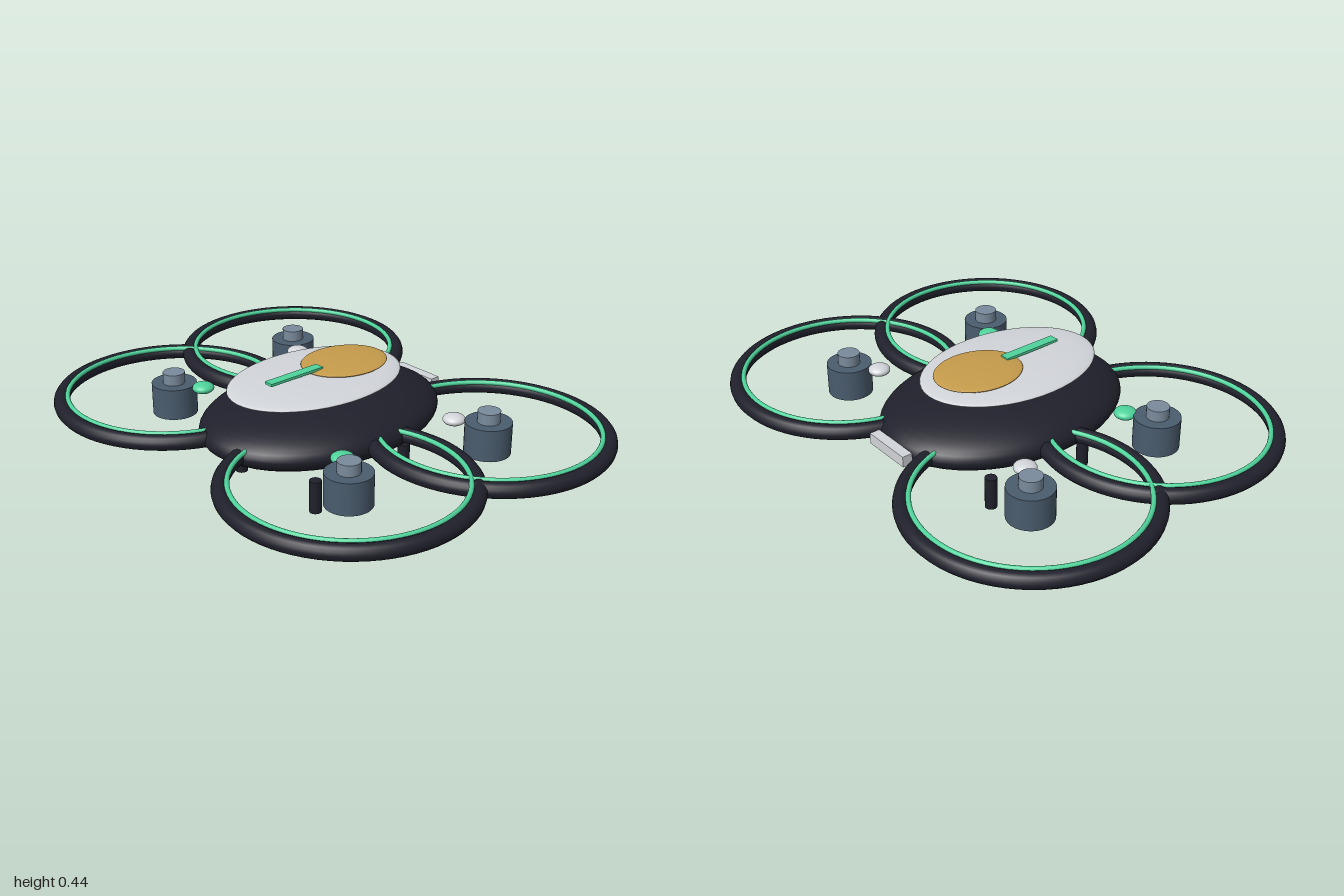
import * as THREE from 'three';

const mat = (name, color) => {
  const m = new THREE.MeshStandardMaterial({ color });
  m.name = name;
  return m;
};

export function createModel() {
  const drone = new THREE.Group();
  drone.name = 'quadDrone';

  const dark = mat('charcoal', 0x20202c);
  const white = mat('paleGrey', 0xd2d5da);
  const gold = mat('gold', 0xc69c4c);
  const green = mat('mintGreen', 0x4fd39b);
  const steel = mat('slateBlue', 0x4a5c6e);
  const cap = mat('lightSlate', 0x7a8b9c);

  const add = (name, geometry, material, x, y, z, parent = drone) => {
    const mesh = new THREE.Mesh(geometry, material);
    mesh.name = name;
    mesh.position.set(x, y, z);
    parent.add(mesh);
    return mesh;
  };
  const ellipsoid = (rx, ry, rz) => new THREE.SphereGeometry(1, 48, 28).scale(rx, ry, rz);
  const ring = (radius, tube) =>
    new THREE.TorusGeometry(radius, tube, 14, 72).rotateX(Math.PI / 2);

  // Flattened hull with stacked discs on top
  add('body', ellipsoid(0.496, 0.117, 0.368), dark, -0.006, 0.255, 0);
  add('topShell', ellipsoid(0.363, 0.023, 0.25), white, -0.035, 0.402, 0);
  add('canopy', ellipsoid(0.174, 0.0135, 0.143), gold, 0.108, 0.428, 0);
  add('topStripe', new THREE.BoxGeometry(0.243, 0.01, 0.038), green, -0.135, 0.438, 0);
  add('sensorBar', new THREE.BoxGeometry(0.04, 0.042, 0.2), white, 0.5, 0.257, 0);

  // Rotor units: the +x pair sits slightly further out than the -x pair
  const units = [
    { x: 0.316, z: 0.54, lightX: 0.25, lightZ: 0.433, light: white },
    { x: -0.32, z: 0.493, lightX: -0.257, lightZ: 0.393, light: green },
  ];
  for (const u of units) {
    for (const side of [1, -1]) {
      const rotor = new THREE.Group();
      rotor.name = 'rotorUnit';
      rotor.position.set(u.x, 0, side * u.z);
      drone.add(rotor);
      add('guardRing', ring(0.428, 0.029), dark, 0, 0.257, 0, rotor);
      add('guardTrim', ring(0.403, 0.009), green, 0, 0.28, 0, rotor);
      add('motor', new THREE.CylinderGeometry(0.086, 0.086, 0.121, 28), steel, 0, 0.2445, 0, rotor);
      add('motorCap', new THREE.CylinderGeometry(0.042, 0.042, 0.042, 24), cap, 0, 0.326, 0, rotor);
      add('signalLight', ellipsoid(0.042, 0.021, 0.042), u.light, u.lightX, 0.296, side * u.lightZ);
    }
  }

  // Landing legs
  for (const x of [-0.222, 0.222]) {
    for (const z of [-0.213, 0.213]) {
      add('leg', new THREE.CylinderGeometry(0.023, 0.023, 0.126, 16), dark, x, 0.063, z);
    }
  }
  return drone;
}
